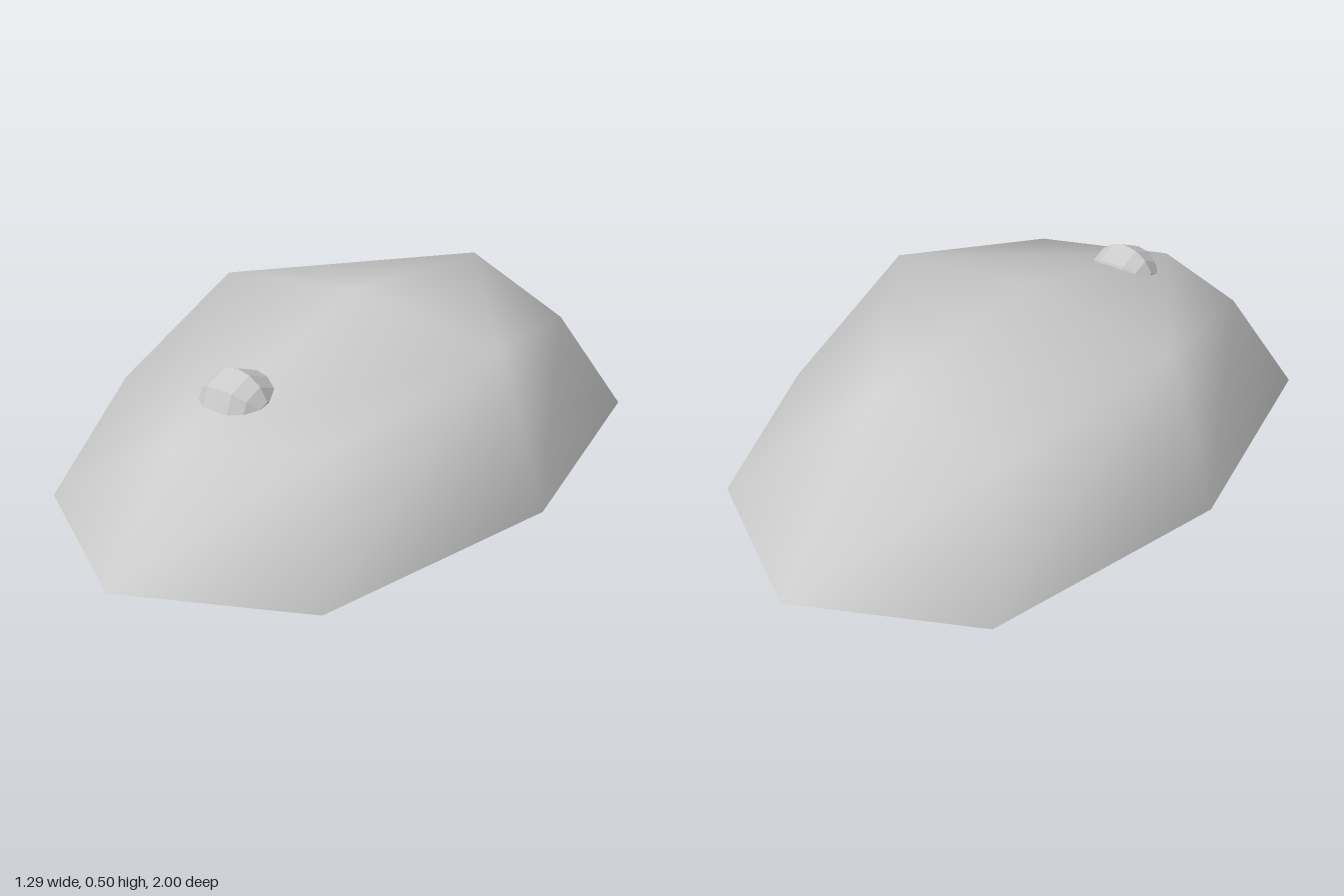
import * as THREE from 'three';

const material = new THREE.MeshStandardMaterial({ color: 0xcccccc });
const flatMaterial = new THREE.MeshStandardMaterial({ color: 0xcccccc, flatShading: true });

// Half outlines from the front tip round the +x side to the back tip
const baseHalf = [[0, 0, 1], [0.48, 0, 0.75], [0.645, 0, 0], [0.48, 0, -0.75], [0, 0, -1]];
const topHalf = [[0, 0.305, 0.75], [0.36, 0.325, 0.56], [0.485, 0.44, 0], [0.36, 0.325, -0.555], [0, 0.437, -0.62]];

// Complete an octagon by mirroring the three side points
const mirrorRing = (half) => [...half, ...half.slice(1, 4).reverse().map(([x, y, z]) => [-x, y, z])];

function createShell(base, top) {
  const index = [];
  const crown = 16;
  for (let i = 0; i < 8; i++) {
    const j = (i + 1) % 8;
    index.push(i, j, 8 + j, i, 8 + j, 8 + i); // sloping side
    if (i % 2 === 0) {
      const k = (i + 2) % 8;
      index.push(8 + i, 8 + j, 8 + k, crown, 8 + i, 8 + k); // top corner and crown facet
    }
  }
  const geometry = new THREE.BufferGeometry();
  const points = [...base, ...top, [0, 0.495, 0]];
  geometry.setAttribute('position', new THREE.Float32BufferAttribute(points.flat(), 3));
  geometry.setIndex(index);
  geometry.computeVertexNormals();
  return geometry;
}

export function createModel() {
  const group = new THREE.Group();
  const add = (name, geometry, mat) => {
    const mesh = new THREE.Mesh(geometry, mat);
    mesh.name = name;
    group.add(mesh);
    return mesh;
  };
  const base = mirrorRing(baseHalf);

  // Smooth shaded body
  add('bodyShell', createShell(base, mirrorRing(topHalf)), material);

  // Flat underside
  const outline = new THREE.Shape(base.map(([x, , z]) => new THREE.Vector2(x, z)));
  add('underside', new THREE.ShapeGeometry(outline).rotateX(Math.PI / 2), material);

  // Faceted scroll wheel, half sunk into the front slope, axle along x
  const wheel = new THREE.SphereGeometry(0.107, 8, 8).rotateZ(Math.PI / 2).scale(1.03, 1, 1);
  add('scrollWheel', wheel, flatMaterial).position.set(0, 0.321, 0.5);

  return group;
}
